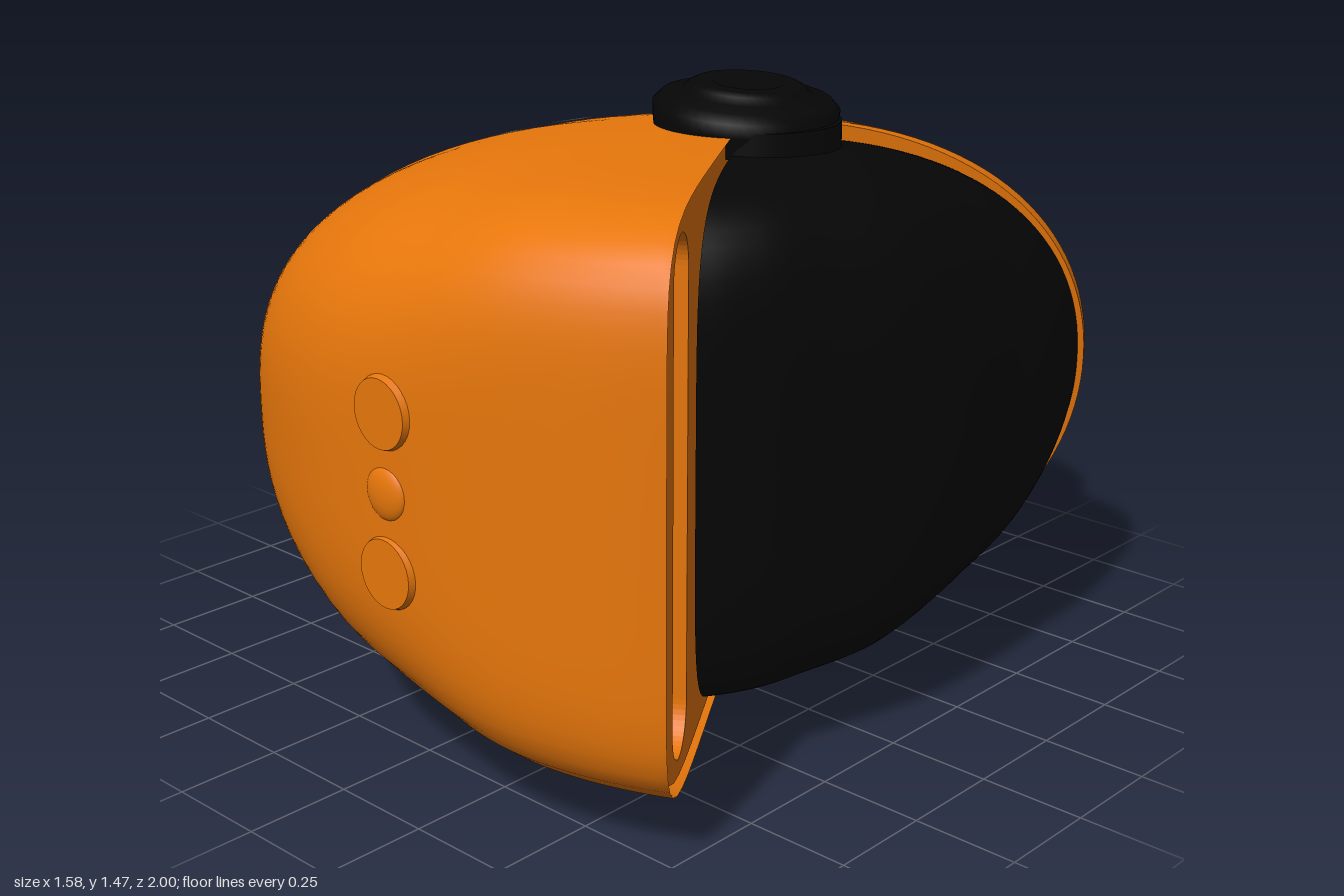
import * as THREE from 'three';
import { mergeVertices } from 'three/addons/utils/BufferGeometryUtils.js';

const orange = new THREE.MeshStandardMaterial({ color: 0xe8770b, side: THREE.DoubleSide });
orange.name = 'orange shell';
const black = new THREE.MeshStandardMaterial({ color: 0x060606, side: THREE.DoubleSide });
black.name = 'black trim';
const silver = new THREE.MeshStandardMaterial({ color: 0xdcdcdc, side: THREE.DoubleSide });
silver.name = 'silver stripe';

// The helmet lies on its side: every section is a ray sweeping round the hinge axis (parallel to y)
const CX = 0.23, CZ = -0.05, CY = 0.733, W = 0.635;
const PEAK = 57, CHIN = 302, NECK0 = 203.5, NECK1 = 283.7;
const rad = THREE.MathUtils.degToRad, deg180 = THREE.MathUtils.radToDeg, lerp = THREE.MathUtils.lerp;

// [angle, radius, squareness] of the sections
const shellTable = [[57, 1.022, 8], [75, 1.02, 6.5], [93, 1.037, 4.2], [112, 1.08, 3.2], [128, 1.115, 2.7],
  [146, 1.143, 2.35], [152.5, 1.15, 2.3], [156, 1.105, 2.3], [160, 1.065, 2.3], [166, 1.03, 2.3], [173, 0.992, 2.25],
  [185, 0.952, 2.15], [203.5, 0.927, 2.0], [222, 0.97, 1.95], [243, 1.0, 1.93], [265, 0.97, 1.95], [283.7, 0.926, 2.0],
  [296, 0.93, 2.05], [302, 0.885, 2.05]];
const visorTable = [[-58, 0.868, 2.15], [-46, 0.757, 2.5], [-33, 0.643, 2.9], [-15, 0.57, 3.4],
  [6, 0.545, 4], [27, 0.55, 4.5], [45, 0.61, 5], [57, 0.67, 5]];

// smooth table lookup
function lookup(table, x, col) {
  let i = 0;
  while (i < table.length - 2 && x > table[i + 1][0]) i++;
  const slope = k => {
    const a = table[Math.max(0, k - 1)], b = table[Math.min(table.length - 1, k + 1)];
    return (b[col] - a[col]) / (b[0] - a[0]);
  };
  const p = table[i], q = table[i + 1], h = q[0] - p[0];
  const t = THREE.MathUtils.clamp((x - p[0]) / h, 0, 1), t2 = t * t, t3 = t2 * t;
  return p[col] * (2 * t3 - 3 * t2 + 1) + q[col] * (3 * t2 - 2 * t3)
    + slope(i) * h * (t3 - 2 * t2 + t) + slope(i + 1) * h * (t3 - t2);
}

// point [radius, height] on a section; a = 0 on the centre line, PI/2 at the hinge
function section(table, deg, a, w) {
  const n = lookup(table, deg, 2), c = Math.max(0, Math.cos(a)), s = Math.sin(a);
  const k = Math.pow(Math.pow(c, n) + Math.pow(Math.abs(s), n), -1 / n);
  return [lookup(table, deg, 1) * k * c, w * k * s];
}
const place = (deg, r, y) => [CX + r * Math.cos(rad(deg)), CY + y, CZ + r * Math.sin(rad(deg))];

// section angle at which the shell reaches a given radius
function angleAt(deg, r) {
  const n = lookup(shellTable, deg, 2), u = Math.min(1, r / lookup(shellTable, deg, 1));
  return Math.atan2(Math.pow(1 - Math.pow(u, n), 1 / n), u);
}

// lowest section angle left of the shell once the neck opening is cut away
function cutAngle(deg) {
  if (deg <= NECK0 || deg >= NECK1) return 0;
  const d = -0.846 / (0.53 * Math.cos(rad(deg)) + 1.07 * Math.sin(rad(deg)));
  return angleAt(deg, d * (1 - 0.1 * Math.sin(Math.PI * (deg - NECK0) / (NECK1 - NECK0))));
}
const ease = u => (1 - Math.cos(Math.PI * u)) / 2;
const neckAngle = u => lerp(NECK0, NECK1, ease(u));

// grid surface from point(u, v), with its mirror image about the centre plane
function surface(nu, nv, point, keep = () => true) {
  const pos = [], idx = [], row = nv + 1;
  for (const side of [1, -1]) {
    const base = pos.length / 3;
    for (let i = 0; i <= nu; i++) for (let j = 0; j <= nv; j++) {
      const p = point(i / nu, j / nv);
      pos.push(p[0], CY + side * (p[1] - CY), p[2]);
    }
    for (let i = 0; i < nu; i++) for (let j = 0; j < nv; j++) {
      const a = base + i * row + j, b = a + row;
      const mx = (pos[a * 3] + pos[b * 3 + 3]) / 2, mz = (pos[a * 3 + 2] + pos[b * 3 + 5]) / 2;
      if (!keep(mx, mz)) continue;
      if (side > 0) idx.push(a, a + 1, b, b, a + 1, b + 1);
      else idx.push(a, b, a + 1, b, b + 1, a + 1);
    }
  }
  let g = new THREE.BufferGeometry();
  g.setAttribute('position', new THREE.Float32BufferAttribute(pos, 3));
  g.setIndex(idx);
  g = mergeVertices(g, 1e-5);
  g.computeVertexNormals();
  return g;
}

export function createModel() {
  const model = new THREE.Group();
  model.name = 'helmet';
  const add = (name, geometry, material, parent = model) => {
    const m = new THREE.Mesh(geometry, material);
    m.name = name;
    parent.add(m);
    return m;
  };

  // outer shell, from the peak round the back to the chin
  add('shell', surface(320, 32, (u, v) => {
    const deg = u < 0.4 ? lerp(PEAK, NECK0, u / 0.4) : u <= 0.9 ? neckAngle((u - 0.4) / 0.5)
      : lerp(NECK1, CHIN, (u - 0.9) / 0.1);
    return place(deg, ...section(shellTable, deg, lerp(Math.PI / 2, cutAngle(deg), v), W));
  }), orange);

  // face shield with an orange lining behind it
  const shield = scale => surface(48, 32, (u, v) => {
    const deg = lerp(-58, PEAK, u);
    const [r, y] = section(visorTable, deg, (1 - v) * Math.PI / 2, 0.595);
    return place(deg, r * scale, y * scale);
  });
  add('visor', shield(1), black);
  add('visorLining', shield(0.96), orange);

  // thick edge of the chin guard
  add('chinEdge', surface(1, 32, (u, v) => {
    const [r, y] = section(shellTable, CHIN, (1 - v) * Math.PI / 2, W);
    return place(CHIN, r * (1 - 0.06 * u), y * (1 - 0.06 * u));
  }), orange);

  // flat panel under the peak, with a long recessed slot
  const peak = new THREE.Group();
  peak.name = 'peakUnderside';
  peak.position.set(CX, CY, CZ);
  peak.rotation.y = -rad(PEAK);
  model.add(peak);
  const outline = [];
  for (let i = -30; i <= 30; i++) {
    const [r, y] = section(shellTable, PEAK, i / 30 * Math.PI / 2, W);
    outline.push(new THREE.Vector2(r * 0.975, y * 0.975));
  }
  const slotPath = (P, r0, r1, h) => {
    const c = (r0 + r1) / 2, q = (r1 - r0) / 2, p = new P();
    p.absarc(c, h - q, q, 0, Math.PI, false);
    p.absarc(c, q - h, q, Math.PI, 2 * Math.PI, false);
    p.closePath();
    return p;
  };
  const panel = new THREE.Shape(outline);
  panel.holes.push(slotPath(THREE.Path, 0.70, 0.875, 0.565));
  add('peakPanel', new THREE.ExtrudeGeometry(panel, { depth: 0.06, bevelEnabled: false }), orange, peak)
    .position.z = 0.012;
  add('slotFloor', new THREE.ShapeGeometry(slotPath(THREE.Shape, 0.69, 0.885, 0.575)), orange, peak)
    .position.z = 0.07;

  // neck skirt lofted from the shell opening to a smaller rim, with a round hole in each side
  const rimPath = [[-0.48, -0.78], [-0.3, -0.87], [-0.1, -0.985], [0.14, -0.985], [0.38, -0.985]];
  const rim = w => {
    const k = Math.min(3, Math.floor(w * 4)), t = w * 4 - k, a = rimPath[k], b = rimPath[k + 1];
    const y = 0.355 * Math.pow(Math.max(0, 1 - Math.pow(Math.abs(2 * w - 1), 4)), 0.25);
    return [lerp(a[0], b[0], t), CY + y, lerp(a[1], b[1], t)];
  };
  const HX = -0.22, HZ = -0.79, HR = 0.05;
  add('neckSkirt', surface(160, 40, (u, v) => {
    const deg = neckAngle(u);
    const a = place(deg, ...section(shellTable, deg, cutAngle(deg), W)), b = rim(ease(u));
    const p = [lerp(a[0], b[0], v), lerp(a[1], b[1], Math.sin(v * Math.PI / 2)), lerp(a[2], b[2], v)];
    const d = Math.hypot(p[0] - HX, p[2] - HZ);
    if (Math.abs(d - HR) < 0.006) {
      p[0] = HX + (p[0] - HX) * HR / d;
      p[2] = HZ + (p[2] - HZ) * HR / d;
    }
    return p;
  }, (x, z) => Math.hypot(x - HX, z - HZ) > HR), black);
  const rimPoints = [];
  for (let i = 0; i < 64; i++) {
    const p = rim(ease(i / 32));
    rimPoints.push(new THREE.Vector3(p[0], i <= 32 ? p[1] : 2 * CY - p[1], p[2]));
  }
  add('neckRim', new THREE.TubeGeometry(new THREE.CatmullRomCurve3(rimPoints, true), 128, 0.015, 8, true), black);
  // strap blocks inside the front and rear of the rim
  add('frontStrapBlock', new THREE.BoxGeometry(0.08, 0.12, 0.08), black).position.set(0.34, CY, -0.93);
  add('rearStrapBlock', new THREE.BoxGeometry(0.08, 0.14, 0.08), black).position.set(-0.42, CY, -0.75);

  // reflective stripe, straight from the side, wrapped over the back
  add('stripe', surface(4, 48, (u, v) => {
    const t = Math.sin(v * Math.PI / 2);
    const dx = lerp(-0.15, -0.79, t) - CX, dz = lerp(0.07, 0.42, t) - CZ, r = Math.hypot(dx, dz);
    const mid = deg180(Math.atan2(dz, dx)), a = v < 1 ? angleAt(mid, r) : 0;
    const deg = mid + deg180((u - 0.5) * 0.042 / r);
    const [r2, y2] = section(shellTable, deg, a, W);
    return place(deg, r2 + 0.005 * Math.cos(a), y2 + 0.005 * Math.sin(a));
  }), silver);

  // slightly tilted hinge caps on offset bases, and inner ear pads, on both sides
  const profile = [[0.205, -0.14], [0.212, -0.09], [0.214, -0.06], [0.195, -0.04], [0.15, -0.032],
    [0.135, -0.016], [0.12, -0.008], [0.08, -0.008], [0.07, -0.014], [0, -0.014]].map(p => new THREE.Vector2(...p));
  for (const side of [1, -1]) {
    const hinge = add(side > 0 ? 'upperHinge' : 'lowerHinge', new THREE.LatheGeometry(profile, 48), black);
    hinge.position.set(CX + 0.005, CY + side * CY, CZ - 0.008);
    hinge.rotation.set(side < 0 ? Math.PI : 0, 0, -0.07);
    const base = add('hingeBase', new THREE.CylinderGeometry(0.19, 0.19, 0.06, 40), black);
    base.position.set(CX + 0.035, CY + side * 0.615, CZ - 0.01);
    const pad = add('earPad', new THREE.CylinderGeometry(0.17, 0.2, 0.06, 24), black);
    pad.position.set(0.08, CY + side * 0.48, -0.4);
  }

  // crown vents: two flat discs and a small dome between them
  for (const s of [1, -1]) {
    const disc = add('crownVent', new THREE.CylinderGeometry(0.076, 0.087, 0.03, 32), orange);
    disc.rotation.x = Math.PI / 2;
    disc.position.set(0.165, CY + s * 0.175, 0.98);
  }
  const dome = add('crownDome', new THREE.SphereGeometry(0.06, 24, 16), orange);
  dome.scale.z = 0.35;
  dome.position.set(0.165, CY, 0.979);

  // rear vent on its raised mount
  const mount = add('rearVentMount', new THREE.CylinderGeometry(0.082, 0.1, 0.06, 32), orange);
  mount.rotation.z = Math.PI / 2;
  mount.position.set(-0.758, CY, 0.25);
  const vent = add('rearVent', new THREE.CylinderGeometry(0.076, 0.076, 0.006, 32), black);
  vent.rotation.z = Math.PI / 2;
  vent.position.set(-0.789, CY, 0.25);
  return model;
}
